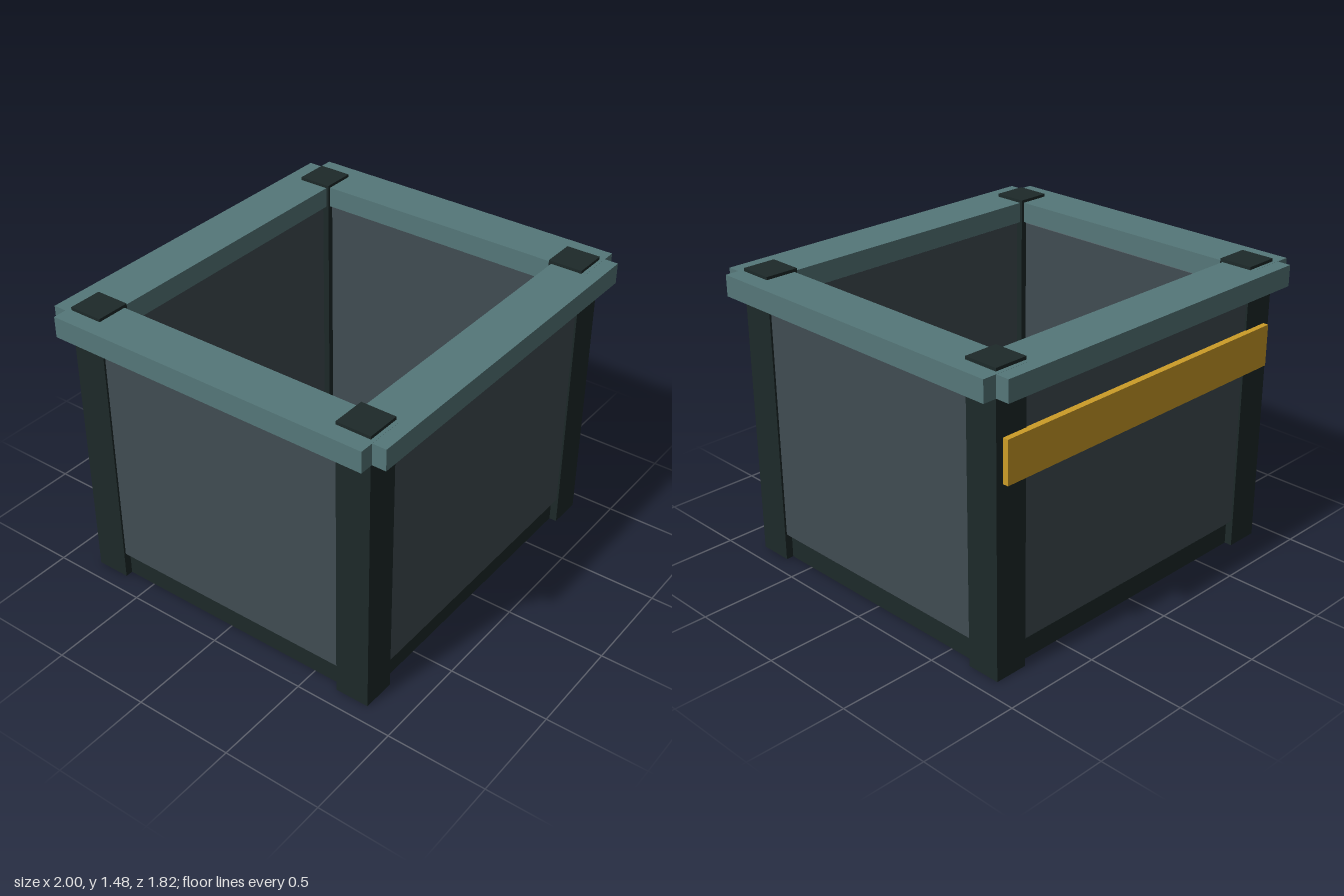
import * as THREE from 'three';

const mat = (name, color) => {
  const m = new THREE.MeshStandardMaterial({ color });
  m.name = name;
  return m;
};

export function createModel() {
  const model = new THREE.Group();
  model.name = 'planterBox';
  const dark = mat('darkFrame', 0x1d2929);
  const grey = mat('greyPanel', 0x404c52);
  const teal = mat('tealRim', 0x557779);
  const gold = mat('goldPlate', 0xcc9c27);

  function add(name, geometry, material) {
    const mesh = new THREE.Mesh(geometry, material);
    mesh.name = name;
    model.add(mesh);
    return mesh;
  }

  // Box given by its minimum and maximum corners
  function box(name, material, x0, x1, y0, y1, z0, z1) {
    add(name, new THREE.BoxGeometry(x1 - x0, y1 - y0, z1 - z0), material)
      .position.set((x0 + x1) / 2, (y0 + y1) / 2, (z0 + z1) / 2);
  }

  // Same range mirrored to the negative side of one axis
  const range = (s, a, b) => (s > 0 ? [a, b] : [-b, -a]);

  // Wall panel along z with chamfered long edges, centred on x and z
  function panelGeometry(thickness, length) {
    const h = thickness / 2, c = 0.03, y0 = 0.105, y1 = 1.375;
    const profile = new THREE.Shape([
      [-h + c, y0], [h - c, y0], [h, y0 + c], [h, y1 - c],
      [h - c, y1], [-h + c, y1], [-h, y1 - c], [-h, y0 + c],
    ].map(([x, y]) => new THREE.Vector2(x, y)));
    return new THREE.ExtrudeGeometry(profile, { depth: length, bevelEnabled: false })
      .translate(0, 0, -length / 2);
  }

  // Floor slab
  box('floor', dark, -0.873, 0.873, 0, 0.105, -0.785, 0.785);

  for (const s of [1, -1]) {
    // Corner posts, standing slightly proud of the rim
    for (const t of [1, -1]) {
      box('cornerPost', dark, ...range(s, 0.74, 0.912), 0, 1.475, ...range(t, 0.65, 0.824));
    }

    // Walls, almost flush with the outside of the posts
    add('sidePanel', panelGeometry(0.13, 1.4), grey).position.x = s * 0.837;
    const end = add('endPanel', panelGeometry(0.13, 1.58), grey);
    end.rotation.y = Math.PI / 2;
    end.position.z = s * 0.749;

    // Rim: side rails run between the notched ends of the front and back rails
    box('sideRim', teal, ...range(s, 0.755, 1), 1.355, 1.46, -0.843, 0.843);
    box('endRim', teal, -0.93, 0.93, 1.355, 1.4595, ...range(s, 0.663, 0.912));
  }

  // Plate across the back posts
  box('backPlate', gold, -0.875, 0.875, 0.95, 1.16, -0.853, -0.82);

  return model;
}
